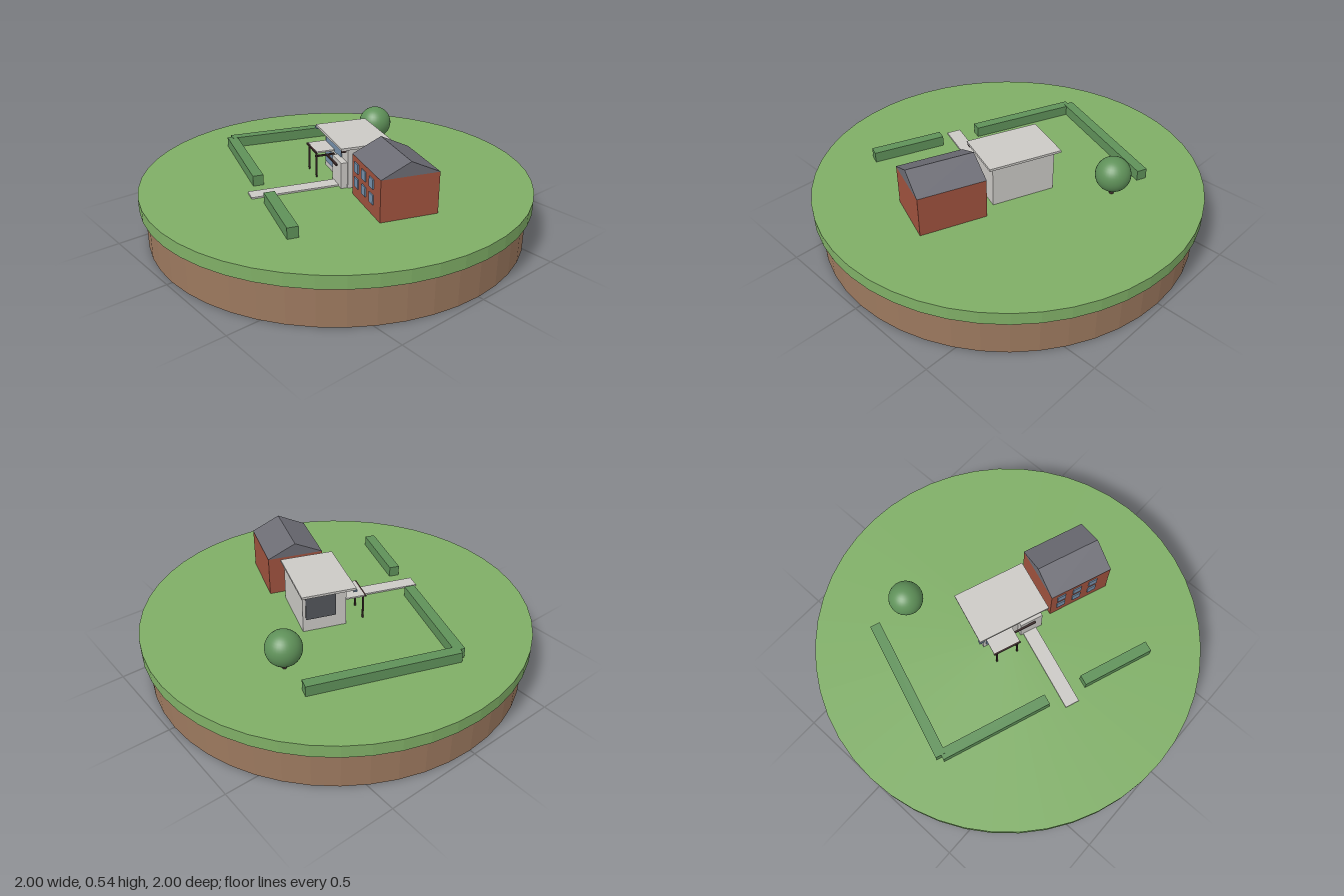
import * as THREE from 'three';

function mat(name, color, opts = {}) {
  const m = new THREE.MeshStandardMaterial({ color, ...opts });
  m.name = name;
  return m;
}

export function createModel() {
  const grass = mat('grass', 0x7fae66, { flatShading: true });
  const soil = mat('soil', 0x9b785e, { flatShading: true });
  const leaf = mat('leaf', 0x5f9159);
  const brick = mat('brick', 0x9f523e);
  const slate = mat('slate', 0x6c6c74, { flatShading: true });
  const render = mat('render', 0xcbc9c5);
  const glass = mat('glass', 0x7690ab);
  const charcoal = mat('charcoal', 0x53565b);
  const timber = mat('timber', 0x3d2b2a);

  const G = 0.265; // ground level
  const model = new THREE.Group();
  model.name = 'houseOnIsland';

  const add = (parent, name, geo, material, x = 0, y = 0, z = 0) => {
    const mesh = new THREE.Mesh(geo, material);
    mesh.name = name;
    mesh.position.set(x, y, z);
    parent.add(mesh);
    return mesh;
  };

  // Round base: soil with a wider turf layer
  add(model, 'soilBase', new THREE.CylinderGeometry(0.972, 0.972, 0.2, 48), soil, 0, 0.1, 0);
  add(model, 'turf', new THREE.CylinderGeometry(1, 1, 0.065, 48), grass, 0, 0.2325, 0);

  // Tree
  add(model, 'treeTrunk', new THREE.CylinderGeometry(0.012, 0.012, 0.06, 10), timber, -0.235, G + 0.03, -0.493);
  add(model, 'treeCrown', new THREE.SphereGeometry(0.089, 32, 20), leaf, -0.235, 0.379, -0.493);

  // Everything else lies on a plot turned by 20 degrees
  const plot = new THREE.Group();
  plot.name = 'plot';
  plot.rotation.y = -THREE.MathUtils.degToRad(20);
  model.add(plot);

  // Box given by its limits
  const box = (name, material, x0, x1, y0, y1, z0, z1) =>
    add(plot, name, new THREE.BoxGeometry(x1 - x0, y1 - y0, z1 - z0), material,
      (x0 + x1) / 2, (y0 + y1) / 2, (z0 + z1) / 2);

  // Hedges and path
  box('sideHedge', leaf, -0.617, -0.563, G, 0.32, -0.35, 0.415);
  box('frontHedgeRight', leaf, -0.588, 0, G, 0.319, 0.386, 0.44);
  box('frontHedgeLeft', leaf, 0.207, 0.59, G, 0.32, 0.386, 0.44);
  box('path', render, 0.07, 0.145, G, 0.273, 0.0, 0.485);

  // Brick house with a gabled slate roof
  box('brickWalls', brick, 0.247, 0.587, G, 0.474, -0.287, 0.005);
  const gable = new THREE.Shape([
    new THREE.Vector2(-0.147, 0), new THREE.Vector2(0.147, 0), new THREE.Vector2(0, 0.07),
  ]);
  const roofGeo = new THREE.ExtrudeGeometry(gable, { depth: 0.342, bevelEnabled: false });
  add(plot, 'gableRoof', roofGeo, slate, 0.246, 0.474, -0.141).rotation.y = Math.PI / 2;

  // Two rows of three windows
  for (const y of [0.345, 0.422]) {
    for (const x of [0.305, 0.396, 0.487]) {
      box('brickHouseWindow', glass, x - 0.023, x + 0.023, y - 0.024, y + 0.024, 0.003, 0.011);
    }
  }

  // Modern house under a flat overhanging roof
  box('modernWalls', render, -0.145, 0.185, G, 0.475, -0.22, 0.005);
  box('flatRoof', render, -0.178, 0.205, 0.475, 0.487, -0.232, 0.046);
  box('entranceBlock', render, 0.055, 0.178, G, 0.4, 0, 0.038);
  box('upperWindow', glass, -0.12, 0.1, 0.395, 0.457, 0.003, 0.01);
  box('lowerWindow', glass, -0.13, 0.015, 0.295, 0.368, 0.003, 0.01);
  box('sidePanel', charcoal, -0.151, -0.143, 0.335, 0.46, -0.205, -0.05);

  // Small beam ends below the front roof corners
  box('roofBeamEnd', glass, -0.182, -0.155, 0.468, 0.476, 0.03, 0.05);
  box('roofBeamEnd', timber, 0.19, 0.202, 0.464, 0.476, 0.02, 0.044);

  // Terrace canopy on slender posts
  box('canopySlab', render, -0.135, 0.01, 0.4, 0.408, 0, 0.106);
  box('canopyBeam', timber, -0.137, 0.012, 0.399, 0.407, 0.106, 0.114);
  box('entranceBeam', timber, -0.018, 0.135, 0.372, 0.38, 0.04, 0.05);
  box('entranceSideBeam', timber, -0.018, -0.008, 0.372, 0.38, 0, 0.108);
  for (const [x, top] of [[-0.119, 0.405], [-0.003, 0.4]]) {
    box('canopyPost', timber, x - 0.004, x + 0.004, G, top, 0.1, 0.108);
  }

  return model;
}
